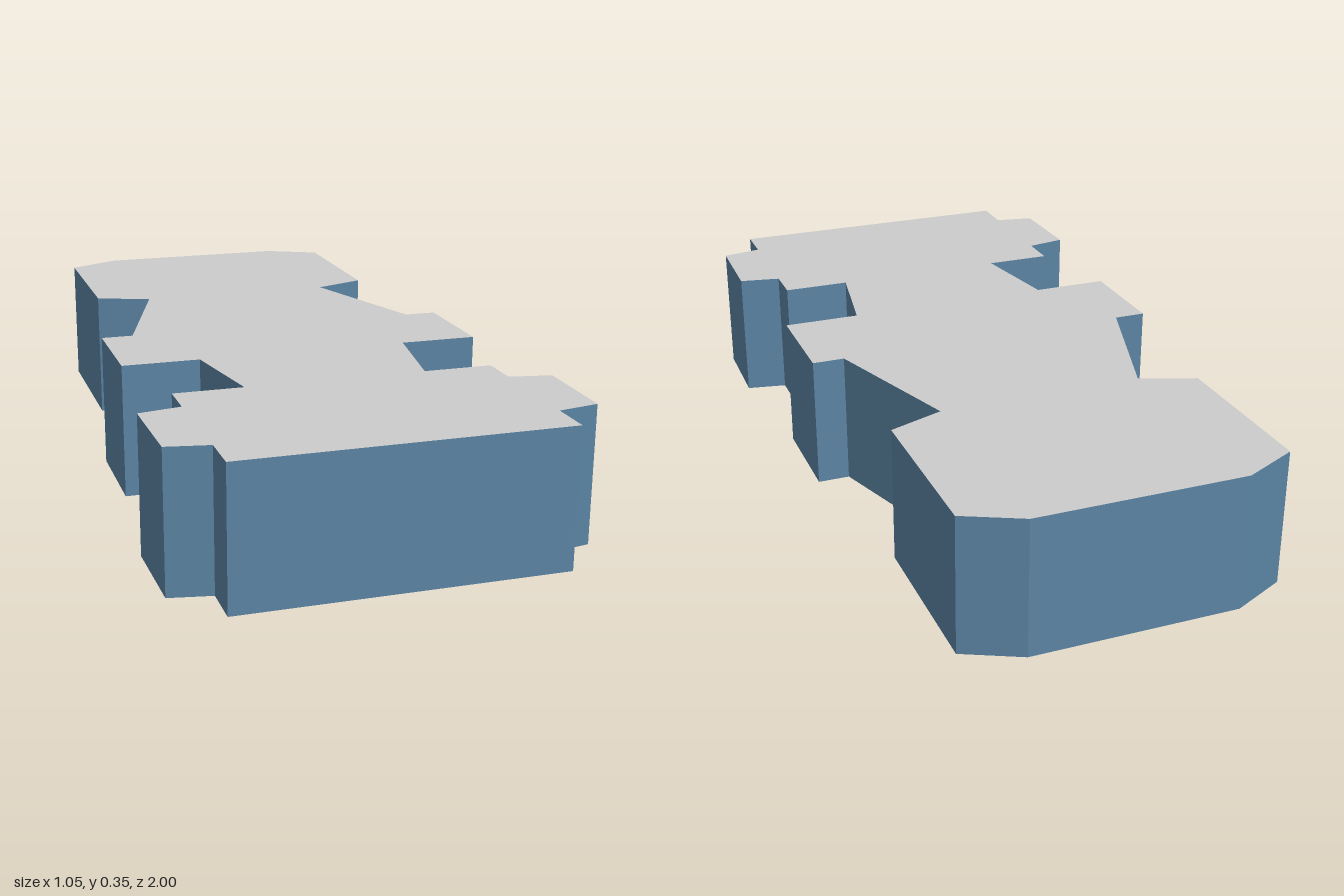
import * as THREE from 'three';

const HEIGHT = 0.355;

// Half outline in plan, [x, z], from the back end to the front end
const SIDE = [
  [0.27, -1], [0.415, -0.93], [0.415, -0.49], [0.27, -0.435],
  [0.4, -0.04], [0.485, -0.04], [0.485, 0.24], [0.28, 0.24],
  [0.235, 0.505], [0.415, 0.505], [0.415, 0.61],
  [0.525, 0.63], [0.52, 0.87], [0.412, 0.89], [0.412, 1],
];
const FRONT_POD = SIDE.slice(10, 14);

const mirror = (points) => points.map(([x, z]) => [-x, z]).reverse();

// Vertical walls along a plan path, one flat quad per segment
function wallGeometry(path, closed) {
  const positions = [];
  const count = closed ? path.length : path.length - 1;
  for (let i = 0; i < count; i++) {
    const [ax, az] = path[i];
    const [bx, bz] = path[(i + 1) % path.length];
    positions.push(
      ax, 0, az, ax, HEIGHT, az, bx, HEIGHT, bz,
      ax, 0, az, bx, HEIGHT, bz, bx, 0, bz,
    );
  }
  const geometry = new THREE.BufferGeometry();
  geometry.setAttribute('position', new THREE.Float32BufferAttribute(positions, 3));
  geometry.computeVertexNormals();
  return geometry;
}

// Horizontal plate filling a plan outline at height y, facing up
function plateGeometry(outline, y) {
  const shape = new THREE.Shape(outline.map(([x, z]) => new THREE.Vector2(x, -z)));
  return new THREE.ShapeGeometry(shape).rotateX(-Math.PI / 2).translate(0, y, 0);
}

export function createModel() {
  const group = new THREE.Group();
  const grey = new THREE.MeshStandardMaterial({ color: 0xcccccc, side: THREE.DoubleSide });
  const blue = new THREE.MeshStandardMaterial({ color: 0x5b84a3, side: THREE.DoubleSide });

  const add = (name, geometry, material) => {
    const mesh = new THREE.Mesh(geometry, material);
    mesh.name = name;
    group.add(mesh);
  };

  // Hollow body, open underneath
  const outline = [...SIDE, ...mirror(SIDE)];
  add('outerWalls', wallGeometry(outline, true), blue);
  add('topPlate', plateGeometry(outline, HEIGHT), grey);

  // Front side pods are closed off inside and below
  for (const [side, pod] of [['left', FRONT_POD], ['right', mirror(FRONT_POD)]]) {
    add(`${side}PodInnerWall`, wallGeometry([pod[0], pod[3]], false), blue);
    add(`${side}PodFloor`, plateGeometry(pod, 0), grey);
  }

  return group;
}
